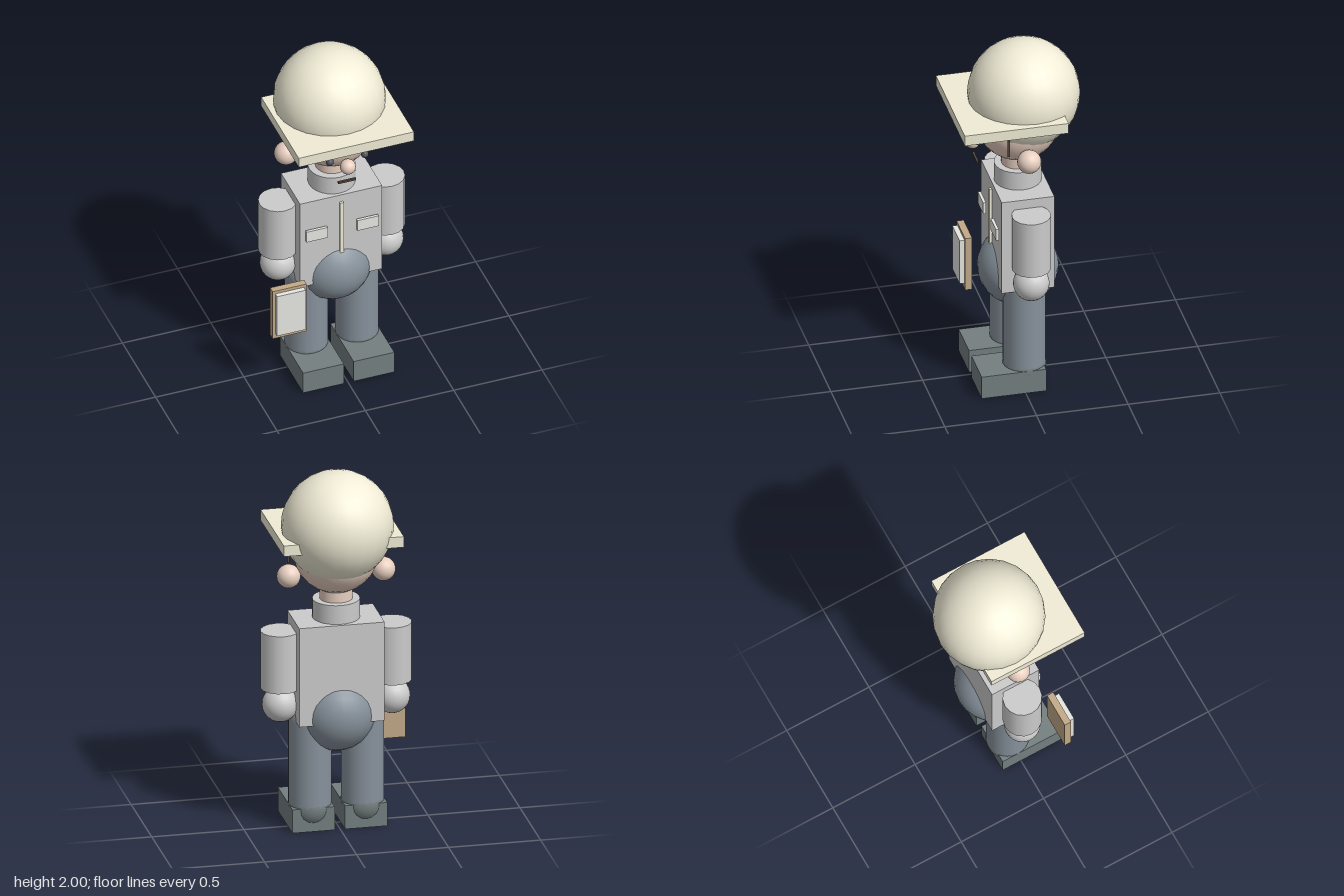
import * as THREE from 'three';

const mat = (color) => new THREE.MeshStandardMaterial({ color });

export function createModel() {
  const model = new THREE.Group();
  const body = new THREE.Group();
  body.name = 'worker';
  body.position.x = 0.003;
  model.add(body);

  const grey = mat(0xcccccc), skin = mat(0xe8cfc0), cream = mat(0xf0ecd6);
  const denim = mat(0x87929c), boot = mat(0x747f80), dark = mat(0x4a5056);
  const brown = mat(0x5a4a40), wood = mat(0xc2aa88), paper = mat(0xe6e6e2);
  const Z = -0.018; // depth of the body axis

  const add = (name, geometry, material, x, y, z) => {
    const mesh = new THREE.Mesh(geometry, material);
    mesh.name = name;
    mesh.position.set(x, y, z);
    body.add(mesh);
    return mesh;
  };
  const ball = (name, r, material, x, y, z) =>
    add(name, new THREE.SphereGeometry(r, 24, 16), material, x, y, z);
  const box = (name, w, h, d, material, x, y, z) =>
    add(name, new THREE.BoxGeometry(w, h, d), material, x, y, z);
  const tube = (name, r, h, material, x, y, z, sides = 24) =>
    add(name, new THREE.CylinderGeometry(r, r, h, sides), material, x, y, z);

  // Head and hard hat
  ball('head', 0.23, skin, 0, 1.55, Z);
  ball('hatDome', 0.3, cream, 0, 1.7, -0.05);
  box('hatBrim', 0.652, 0.06, 0.566, cream, 0.002, 1.64, 0.067);

  // Face
  ball('nose', 0.042, skin, 0, 1.438, 0.228);
  box('mouth', 0.1, 0.012, 0.012, brown, 0, 1.333, 0.213);
  tube('pencil', 0.008, 0.1, brown, 0.236, 1.507, 0.088, 8);

  // Neck, collar and torso
  tube('neck', 0.088, 0.12, skin, 0, 1.28, Z);
  tube('collar', 0.127, 0.12, grey, 0, 1.22, Z);
  box('torso', 0.464, 0.558, 0.287, grey, 0, 0.895, Z);
  box('zipper', 0.02, 0.333, 0.018, cream, 0, 0.963, 0.13);
  ball('hips', 0.217, denim, 0, 0.645, Z);

  // Paired parts
  for (const [side, s] of [['left', 1], ['right', -1]]) {
    ball(side + 'Ear', 0.064, skin, s * 0.258, 1.422, Z);
    ball(side + 'Eye', 0.021, dark, s * 0.099, 1.489, 0.219);
    box(side + 'Brow', 0.08, 0.012, 0.012, brown, s * 0.102, 1.546, 0.228);
    box(side + 'Pocket', 0.12, 0.068, 0.016, paper, s * 0.144, 0.962, 0.142);
    tube(side + 'Arm', 0.105, 0.325, grey, s * 0.304, 0.958, Z, 16);
    ball(side + 'Hand', 0.097, grey, s * 0.304, 0.704, Z);
    add(side + 'Leg', new THREE.CapsuleGeometry(0.115, 0.47, 8, 20), denim, s * 0.143, 0.365, Z);
    ball(side + 'Ankle', 0.117, boot, s * 0.143, 0.12, Z);
    box(side + 'Boot', 0.23, 0.132, 0.352, boot, s * 0.143, 0.066, 0.065);
  }

  // Clipboard with its sheet
  box('clipboard', 0.192, 0.316, 0.038, wood, -0.324, 0.544, 0.194);
  box('clipboardSheet', 0.162, 0.264, 0.028, paper, -0.324, 0.552, 0.226);

  return model;
}
